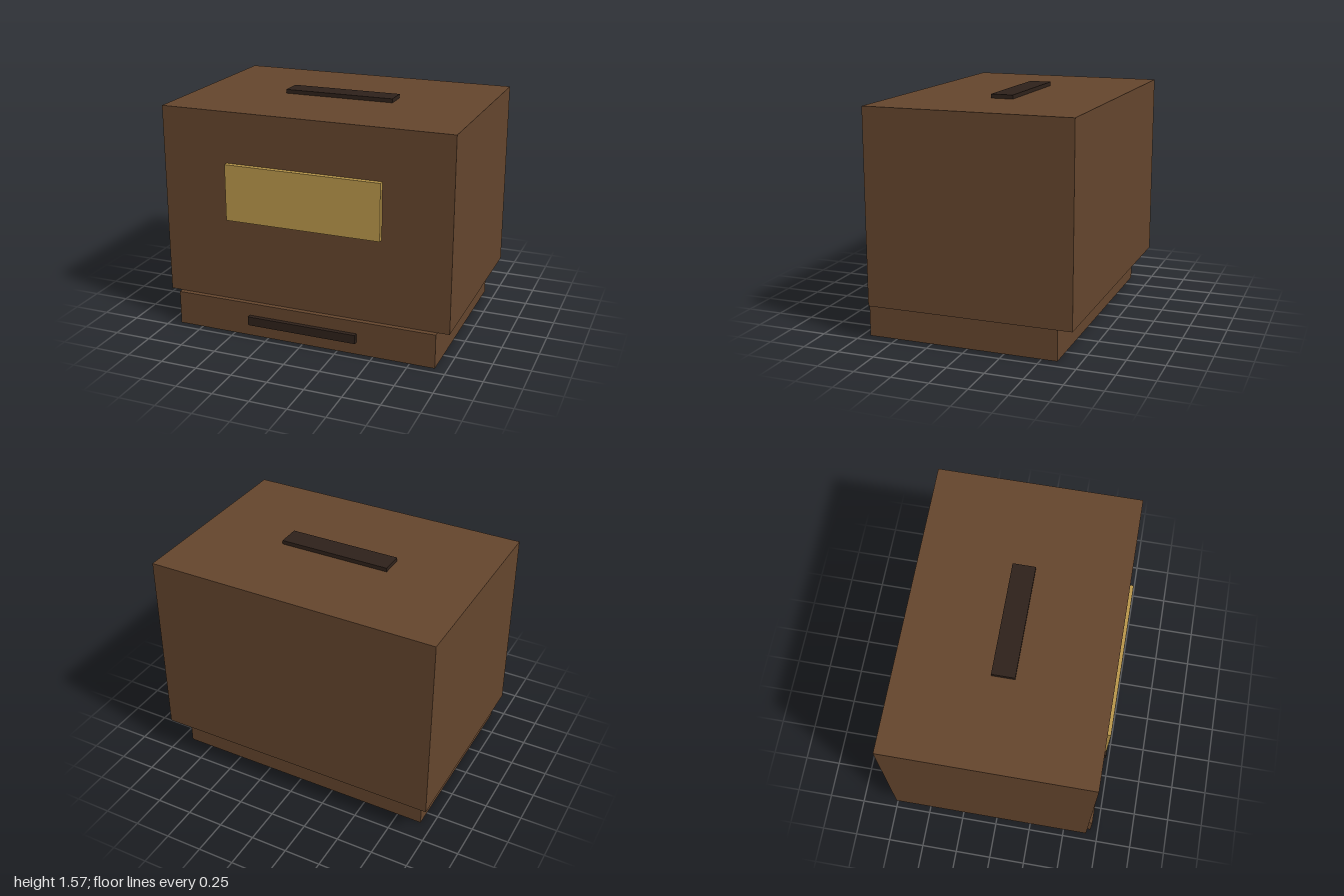
import * as THREE from 'three';

const wood = new THREE.MeshStandardMaterial({ color: 0x64452d });
const brass = new THREE.MeshStandardMaterial({ color: 0xb8964a });
const dark = new THREE.MeshStandardMaterial({ color: 0x2e211a });

// Box centred on x, given its half width and its y and z ranges
function block(name, material, halfWidth, [y0, y1], [z0, z1]) {
  const geometry = new THREE.BoxGeometry(halfWidth * 2, y1 - y0, z1 - z0);
  const mesh = new THREE.Mesh(geometry, material);
  mesh.name = name;
  mesh.position.set(0, (y0 + y1) / 2, (z0 + z1) / 2);
  return mesh;
}

export function createModel() {
  const group = new THREE.Group();
  group.name = 'woodenBox';
  group.add(
    // main cabinet, overhanging the drawer at the sides and back
    block('cabinet', wood, 1, [0.235, 1.54], [-0.725, 0.66]),
    // base drawer, slightly proud of the cabinet front
    block('drawer', wood, 0.92, [0, 0.235], [-0.605, 0.695]),
    block('drawerHandle', dark, 0.385, [0.087, 0.148], [0.695, 0.725]),
    // plate on the front and strip on the lid
    block('frontPlate', brass, 0.537, [0.81, 1.195], [0.66, 0.695]),
    block('topStrip', dark, 0.385, [1.54, 1.567], [-0.11, 0.043]),
  );
  return group;
}
